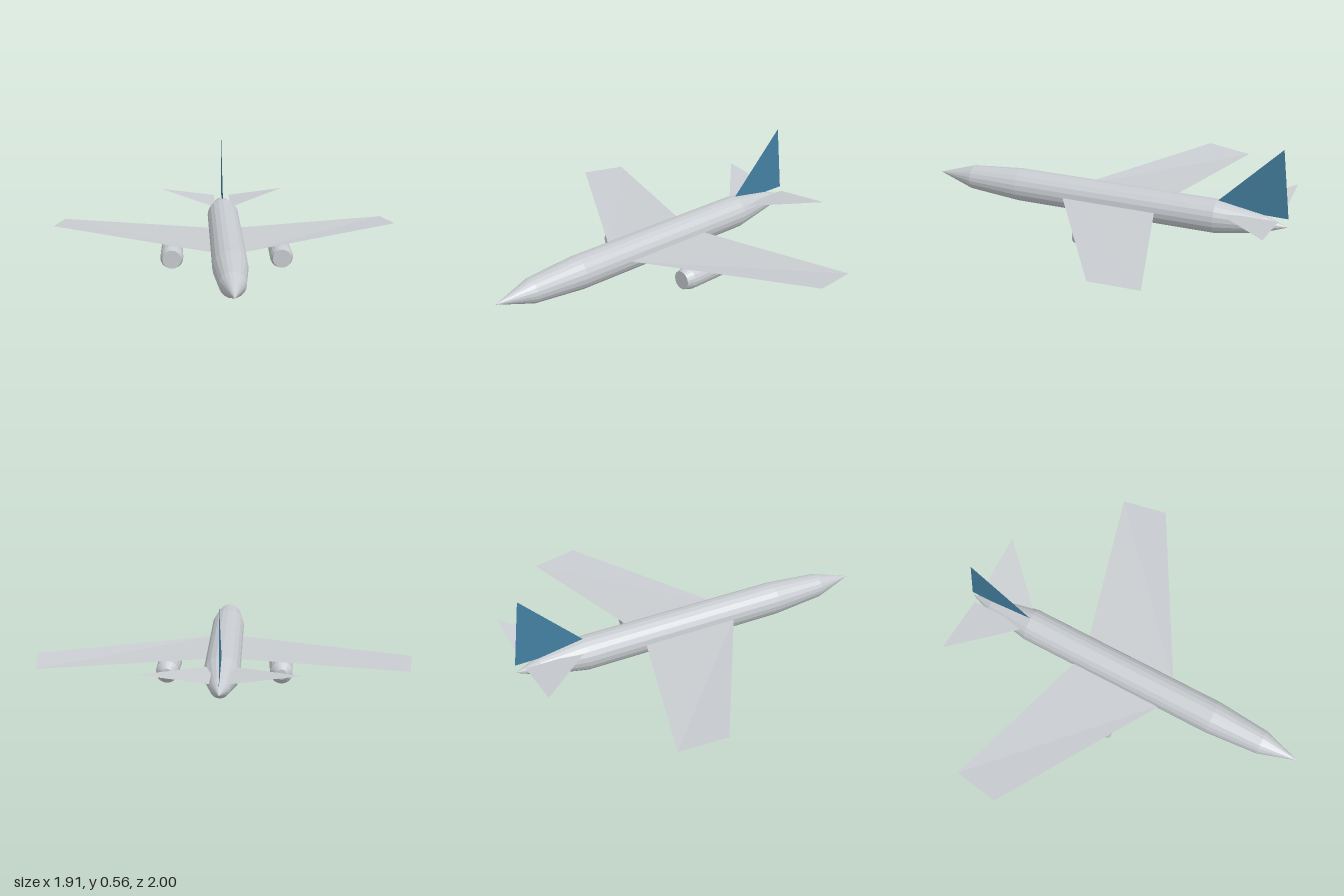
import * as THREE from 'three';

export function createModel() {
  const plane = new THREE.Group();
  plane.name = 'airliner';
  const mat = (name, color, extra) =>
    Object.assign(new THREE.MeshStandardMaterial({ color, ...extra }), { name });
  const bodyGrey = mat('light grey', 0xc8ccd0, { flatShading: true, side: THREE.DoubleSide });
  const finBlue = mat('tail blue', 0x4480a0, { flatShading: true, side: THREE.DoubleSide });

  const add = (name, geometry, material, x = 0, y = 0, z = 0) => {
    const mesh = new THREE.Mesh(geometry, material);
    mesh.name = name;
    mesh.position.set(x, y, z);
    plane.add(mesh);
  };

  // Round body along z from [radius, z] pairs listed back to front
  const turned = (profile, sides) =>
    new THREE.LatheGeometry(profile.map(([r, z]) => new THREE.Vector2(r, z)), sides)
      .rotateX(Math.PI / 2);

  // Thin sheet fanned from its first corner; mirrored sheets swap winding
  const sheet = (corners, side = 1) => {
    const points = [];
    for (let i = 1; i < corners.length - 1; i++) {
      const tri = side > 0 ? [0, i, i + 1] : [0, i + 1, i];
      for (const k of tri) points.push(corners[k][0] * side, corners[k][1], corners[k][2]);
    }
    const g = new THREE.BufferGeometry();
    g.setAttribute('position', new THREE.Float32BufferAttribute(points, 3));
    g.computeVertexNormals();
    return g;
  };

  // Fuselage
  add('fuselage', turned([
    [0, -1], [0.047, -0.875], [0.09, -0.625], [0.09, 0.5], [0.066, 0.79], [0, 1],
  ], 20), bodyGrey, 0, 0.15, 0);

  for (const side of [1, -1]) {
    const label = side > 0 ? 'left' : 'right';

    // Swept wing with a slightly raised leading tip
    add(label + 'Wing', sheet([
      [0.07, 0.15, 0.222], [0.955, 0.17, -0.295], [0.915, 0.151, -0.545], [0.07, 0.15, -0.305],
    ], side), bodyGrey);

    // Tailplane
    add(label + 'Tailplane', sheet([
      [0.045, 0.194, -0.63], [0.37, 0.235, -0.96], [0.045, 0.194, -0.96],
    ], side), bodyGrey);

    // Engine nacelle
    add(label + 'Engine', turned([
      [0, -0.29], [0.027, -0.29], [0.058, -0.25], [0.062, 0], [0.05, 0.045], [0, 0.045],
    ], 20), bodyGrey, side * 0.295, 0.065, 0);
  }

  // Tail fin
  add('tailFin', sheet([
    [0, 0.2, -0.7], [0, 0.24, -0.63], [0, 0.565, -0.957], [0, 0.195, -1],
  ]), finBlue);

  return plane;
}
